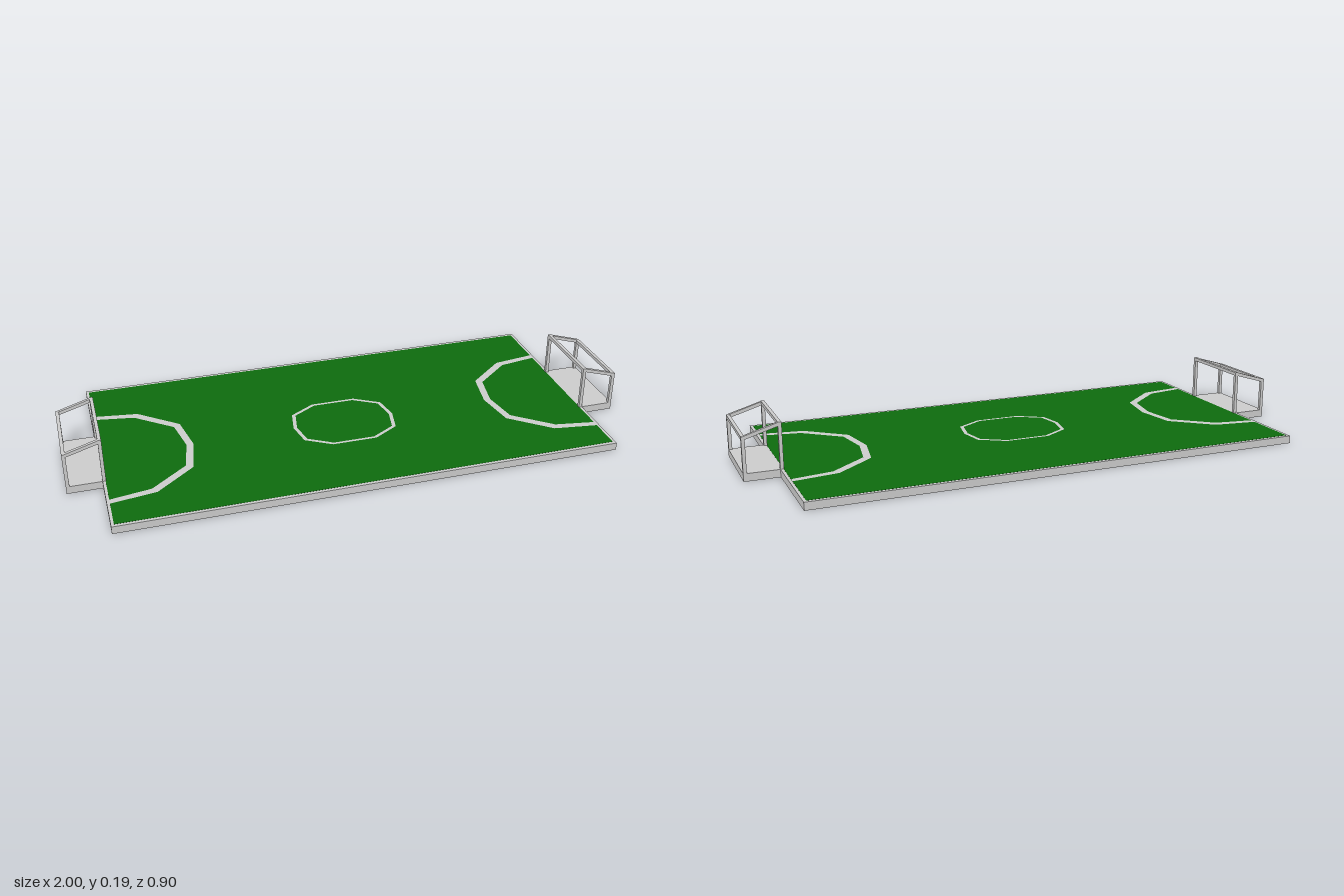
import * as THREE from 'three';

const grey = new THREE.MeshStandardMaterial({ color: 0xcccccc, flatShading: true });
const green = new THREE.MeshStandardMaterial({ color: 0x0d6b0d, flatShading: true });
const TOP = 0.027;   // height of the pitch slab
const MID = 0.037;   // z of the goals and markings
const BAR = 0.012;   // thickness of the goal frame

function box(name, w, h, d, x, y, z, material = grey) {
  const mesh = new THREE.Mesh(new THREE.BoxGeometry(w, h, d), material);
  mesh.name = name;
  mesh.position.set(x, y, z);
  return mesh;
}

// Square bar between two points
function bar(name, a, b) {
  const from = new THREE.Vector3(...a), to = new THREE.Vector3(...b);
  const mesh = box(name, BAR, BAR, from.distanceTo(to), 0, 0, 0);
  mesh.position.copy(from).add(to).multiplyScalar(0.5);
  mesh.lookAt(to);
  return mesh;
}

// Flat painted line bounded by an outer and an inner run of [x, z] points
function painted(name, outer, inner, closed) {
  const toShape = ([x, z]) => new THREE.Vector2(x, -z);
  const shape = new THREE.Shape((closed ? outer : [...outer, ...[...inner].reverse()]).map(toShape));
  if (closed) shape.holes.push(new THREE.Path(inner.map(toShape)));
  const geometry = new THREE.ShapeGeometry(shape);
  geometry.rotateX(-Math.PI / 2);
  const mesh = new THREE.Mesh(geometry, grey.clone());
  mesh.material.side = THREE.DoubleSide;
  mesh.name = name;
  mesh.position.y = TOP + 0.001;
  return mesh;
}

function createGoal(side) {
  const goal = new THREE.Group();
  goal.name = side > 0 ? 'leftGoal' : 'rightGoal';
  const front = side * 0.874, back = side * 0.994;
  const high = 0.181, low = 0.145, half = 0.142;
  goal.add(box('goalFloor', 0.12, TOP, 0.296, side * 0.94, TOP / 2, MID));
  for (const s of [-1, 1]) {
    const z = MID + s * half;
    goal.add(box('frontPost', BAR, 0.187 - TOP, BAR, front, (0.187 + TOP) / 2, z));
    goal.add(box('backPost', BAR, 0.15 - TOP, BAR, back, (0.15 + TOP) / 2, z));
    goal.add(bar('slopingBar', [front, high, z], [back, low, z]));
  }
  goal.add(box('frontCrossbar', BAR, BAR, half * 2, front, high, MID));
  goal.add(box('backCrossbar', BAR, BAR, half * 2, back, low, MID));
  return goal;
}

export function createModel() {
  const model = new THREE.Group();
  model.name = 'footballPitch';

  // Slab with the turf inset from its edge
  model.add(box('slab', 1.76, TOP, 0.9, 0, TOP / 2, 0));
  model.add(box('turf', 1.74, 0.002, 0.876, 0, TOP - 0.0005, 0, green));

  // Green patches on the underside
  const patches = [[0.79, -0.03, 0.14], [0.5, -0.165, 0.14], [0.36, 0.1, 0.14], [-0.42, 0.22, 0.28]];
  for (const [x, z, w] of patches) model.add(box('undersidePatch', w, 0.002, 0.13, x, 0.0005, z, green));

  // Ten-sided centre marking
  const quarter = [[0.187, 0], [0.17, 0.09], [0.08, 0.145]];
  const ring = [
    ...quarter,
    ...quarter.slice(1).reverse().map(([x, z]) => [-x, z]),
    [-0.187, 0],
    ...quarter.slice(1).map(([x, z]) => [-x, -z]),
    ...quarter.slice(1).reverse().map(([x, z]) => [x, -z]),
  ];
  const place = (k) => ring.map(([x, z]) => [x * k, MID - 0.003 + z * k]);
  model.add(painted('centreCircle', place(1), place(0.93), true));

  // Goal areas and goals at both ends
  const outerHalf = [[0.87, 0.285], [0.713, 0.262], [0.575, 0.147], [0.55, 0]];
  const innerHalf = [[0.87, 0.262], [0.728, 0.238], [0.598, 0.131], [0.575, 0]];
  const mirrored = (half, side) => [
    ...half.map(([x, z]) => [side * x, MID + z]),
    ...half.slice(0, -1).reverse().map(([x, z]) => [side * x, MID - z]),
  ];
  for (const side of [-1, 1]) {
    model.add(painted('goalArea', mirrored(outerHalf, side), mirrored(innerHalf, side), false));
    model.add(createGoal(side));
  }
  return model;
}
